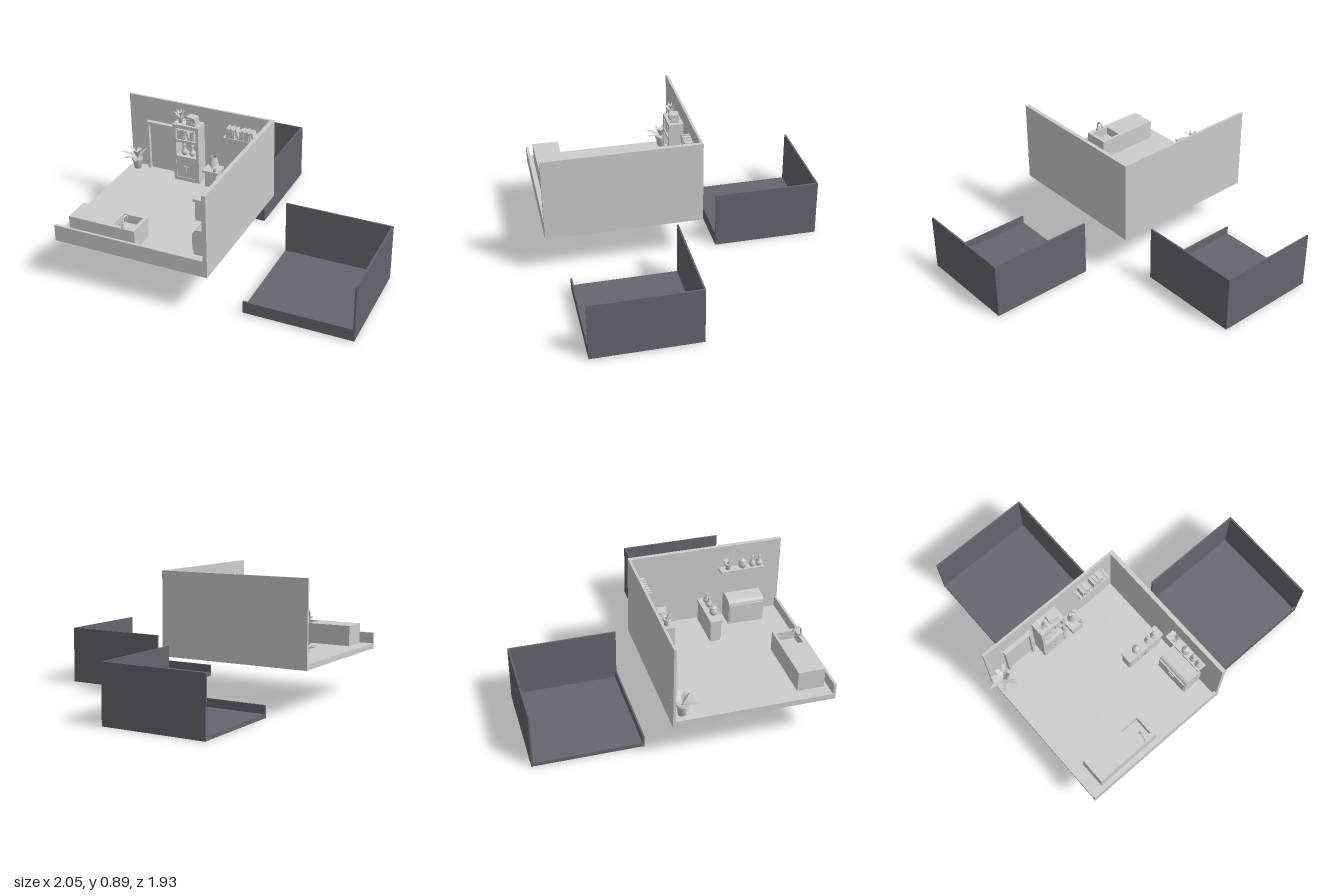
import * as THREE from 'three';

const wallGrey = new THREE.MeshStandardMaterial({ color: 0xcccccc });
wallGrey.name = 'lightGrey';
const slate = new THREE.MeshStandardMaterial({ color: 0x67656d });
slate.name = 'darkSlate';
const leafGrey = new THREE.MeshStandardMaterial({ color: 0xcccccc, side: THREE.DoubleSide });
leafGrey.name = 'leafGrey';

const FLOOR = 0.345;

function add(parent, name, geometry, material = wallGrey) {
  const mesh = new THREE.Mesh(geometry, material);
  mesh.name = name;
  parent.add(mesh);
  return mesh;
}

function group(parent, name, x = 0, y = 0, z = 0) {
  const g = new THREE.Group();
  g.name = name;
  g.position.set(x, y, z);
  parent.add(g);
  return g;
}

// box given by its limits along each axis
function box(parent, name, [x0, x1], [y0, y1], [z0, z1], material) {
  const m = add(parent, name, new THREE.BoxGeometry(x1 - x0, y1 - y0, z1 - z0), material);
  m.position.set((x0 + x1) / 2, (y0 + y1) / 2, (z0 + z1) / 2);
  return m;
}

function lathe(parent, name, points, sides = 16) {
  return add(parent, name, new THREE.LatheGeometry(points.map(p => new THREE.Vector2(...p)), sides), leafGrey);
}

// floor, tall back and right walls, low front wall, open left side
function room(parent, name, [x0, x1], [y0, y1], [z0, z1], o) {
  const g = group(parent, name);
  box(g, 'floor', [x0, x1 - o.side], [y0 + 0.002, y0 + o.floor], [z0 + o.wall, z1 - o.wall], o.material);
  box(g, 'backWall', [x0, x1 - o.side], [y0, y1], [z0, z0 + o.wall], o.material);
  box(g, 'rightWall', [x1 - o.side, x1], [y0, y1], [z0, z1], o.material);
  box(g, 'frontLowWall', [x0, x1 - o.side], [y0, y0 + o.low], [z1 - o.wall, z1], o.material);
  return g;
}

function pottedPlant(parent, name, x, y, z, r, h, leafLength, lean) {
  const g = group(parent, name, x, y, z);
  lathe(g, 'pot', [[0, 0], [r * 0.7, 0], [r, h * 0.8], [r * 1.15, h * 0.8], [r * 1.15, h], [r * 0.9, h], [r * 0.9, h * 0.85], [0, h * 0.85]]);
  const leaf = new THREE.Shape();
  leaf.moveTo(0, 0);
  leaf.quadraticCurveTo(leafLength * 0.3, leafLength * 0.5, 0, leafLength);
  leaf.quadraticCurveTo(-leafLength * 0.3, leafLength * 0.5, 0, 0);
  const geo = new THREE.ShapeGeometry(leaf, 6);
  const p = geo.attributes.position;
  // droop each leaf towards its tip
  for (let i = 0; i < p.count; i++) p.setZ(i, (p.getY(i) / leafLength) ** 2 * leafLength * 0.4);
  geo.computeVertexNormals();
  for (let i = 0; i < 9; i++) {
    const m = add(g, 'leaf', geo, leafGrey);
    m.position.y = h * 0.85;
    m.rotation.order = 'YXZ';
    m.rotation.set(lean * (i % 3 + 0.4) / 2, i * 2.4, 0);
    m.scale.setScalar(0.85 + 0.1 * (i % 3));
  }
}

function bottle(parent, x, y, z, h = 0.08, r = 0.024) {
  lathe(parent, 'bottle', [[0, 0], [r * 0.6, 0], [r, h * 0.22], [r * 0.85, h * 0.42], [r * 0.3, h * 0.6],
    [r * 0.3, h * 0.9], [r * 0.45, h], [0, h]]).position.set(x, y, z);
}

function jar(parent, x, y, z) {
  lathe(parent, 'jar', [[0, 0], [0.018, 0], [0.028, 0.015], [0.028, 0.035], [0.018, 0.048], [0.022, 0.05],
    [0.022, 0.056], [0.008, 0.062], [0.008, 0.068], [0, 0.068]]).position.set(x, y, z);
}

// row of upright books with a leaning one now and then
function bookRow(parent, x0, x1, y, z, h, depth) {
  const g = group(parent, 'bookRow');
  for (let x = x0, i = 0; x < x1 - 0.01; i++) {
    const leaning = i % 6 === 4, w = 0.011 + 0.004 * (i % 3);
    const m = add(g, 'book', new THREE.BoxGeometry(w, h - 0.008 * (i % 2), depth));
    m.position.set(x + w / 2 + (leaning ? 0.01 : 0), y + (h - 0.008 * (i % 2)) / 2, z);
    if (leaning) m.rotation.z = 0.3;
    x += w + (leaning ? 0.021 : 0.001);
  }
}

function furnish(parent) {
  const W = -0.095; // inner face of the back wall

  // door with raised frame
  const door = group(parent, 'door');
  box(door, 'doorPanel', [-0.845, -0.665], [FLOOR, 0.69], [W, W + 0.012]);
  box(door, 'doorFrameTop', [-0.865, -0.648], [0.688, 0.71], [W, W + 0.032]);
  for (const x of [-0.865, -0.665]) box(door, 'doorFrameSide', [x, x + 0.017], [FLOOR, 0.69], [W, W + 0.032]);

  pottedPlant(parent, 'floorPlant', -0.935, FLOOR, -0.035, 0.035, 0.085, 0.11, 0.75);

  // bookcase
  const c = group(parent, 'bookcase');
  for (const x of [-0.62, -0.45]) box(c, 'bookcaseSide', [x, x + 0.02], [FLOOR, 0.775], [W, 0.01]);
  box(c, 'bookcaseBack', [-0.6, -0.45], [FLOOR, 0.775], [W, W + 0.012]);
  for (const [a, b] of [[0.75, 0.775], [0.645, 0.662], [0.515, 0.535], [FLOOR, 0.37]])
    box(c, 'bookcaseShelf', [-0.6, -0.45], [a, b], [W + 0.012, 0.01]);
  for (const s of [0, 1]) {
    box(c, 'cupboardDoor', [-0.599 + s * 0.075, -0.526 + s * 0.075], [0.372, 0.513], [-0.005, 0.008]);
    add(c, 'knob', new THREE.SphereGeometry(0.006, 10, 8)).position.set(-0.537 + s * 0.024, 0.46, 0.012);
  }
  bookRow(c, -0.595, -0.458, 0.662, -0.035, 0.075, 0.07);
  for (const x of [-0.555, -0.495]) bottle(c, x, 0.535, -0.03);
  pottedPlant(c, 'shelfPlant', -0.58, 0.775, -0.035, 0.018, 0.05, 0.055, 0.55);
  for (let i = 0; i < 4; i++) {
    const b = box(c, 'stackedBook', [-0.528, -0.458], [0.775 + i * 0.015, 0.789 + i * 0.015], [-0.07, -0.01]);
    b.rotation.y = [-0.1, 0.12, -0.05, -0.2][i];
  }

  // side table, lamp and cup
  const t = group(parent, 'sideTable');
  box(t, 'tableTop', [-0.395, -0.28], [0.455, 0.472], [-0.08, 0.03]);
  box(t, 'tableBody', [-0.38, -0.295], [FLOOR, 0.455], [-0.075, 0.02]);
  add(t, 'knob', new THREE.SphereGeometry(0.006, 10, 8)).position.set(-0.337, 0.435, 0.022);
  const lamp = group(t, 'lamp', -0.337, 0.472, -0.035);
  lathe(lamp, 'lampBase', [[0, 0], [0.022, 0], [0.022, 0.006], [0.007, 0.012], [0.007, 0.05], [0, 0.05]]);
  lathe(lamp, 'lampShade', [[0.036, 0.028], [0.022, 0.088]]);
  lathe(t, 'cup', [[0, 0], [0.01, 0], [0.011, 0.02], [0.009, 0.02], [0.008, 0.003], [0, 0.003]]).position.set(-0.31, 0.472, 0.013);

  // wall shelves
  box(parent, 'backShelf', [-0.26, -0.015], [0.712, 0.728], [W, -0.025]);
  bookRow(parent, -0.24, -0.02, 0.728, -0.06, 0.072, 0.06);
  const s = group(parent, 'sideShelf');
  box(s, 'shelfBoard', [-0.015, 0.05], [0.712, 0.728], [0.52, 0.83]);
  pottedPlant(s, 'shelfPlant', 0.015, 0.728, 0.575, 0.02, 0.045, 0.05, 0.6);
  jar(s, 0.015, 0.728, 0.68);
  for (const z of [0.75, 0.797]) bottle(s, 0.015, 0.728, z);

  // console cabinet standing out from the right wall
  const k = group(parent, 'consoleCabinet');
  box(k, 'consoleTop', [-0.26, 0.04], [0.49, 0.508], [0.37, 0.455]);
  box(k, 'consoleBody', [-0.25, 0.03], [FLOOR, 0.49], [0.375, 0.445]);
  for (const x of [-0.245, -0.108]) {
    box(k, 'consoleDoor', [x, x + 0.133], [0.36, 0.485], [0.445, 0.451]);
  }
  for (const x of [-0.178, -0.125]) add(k, 'handle', new THREE.CylinderGeometry(0.005, 0.005, 0.03, 10)).position.set(x, 0.445, 0.455);
  jar(k, -0.17, 0.508, 0.418);
  for (const x of [-0.07, -0.018]) bottle(k, x, 0.508, 0.42, 0.075);

  // rounded cabinet against the right wall, profile run along z
  const p = new THREE.Shape();
  p.moveTo(0.05, FLOOR);
  p.lineTo(-0.085, FLOOR);
  p.lineTo(-0.085, 0.5);
  p.quadraticCurveTo(-0.08, 0.522, -0.055, 0.525);
  p.lineTo(0.02, 0.533);
  p.quadraticCurveTo(0.05, 0.528, 0.05, 0.5);
  const low = add(parent, 'roundedCabinet', new THREE.ExtrudeGeometry(p, { depth: 0.25, bevelEnabled: false, curveSegments: 8 }));
  low.position.z = 0.56;
  box(parent, 'roundedCabinetFront', [-0.095, -0.085], [0.37, 0.495], [0.565, 0.805]);
  box(parent, 'roundedCabinetHandle', [-0.103, -0.095], [0.47, 0.48], [0.665, 0.71]);

  // counter with sunken basin
  const n = group(parent, 'sinkCounter');
  const rect = (path, x0, x1, y0, y1) => {
    path.moveTo(x0, y0); path.lineTo(x1, y0); path.lineTo(x1, y1); path.lineTo(x0, y1); path.closePath();
    return path;
  };
  const top = rect(new THREE.Shape(), -0.91, -0.44, -0.92, -0.738);
  top.holes.push(rect(new THREE.Path(), -0.603, -0.465, -0.89, -0.757));
  const counter = add(n, 'counterBody', new THREE.ExtrudeGeometry(top, { depth: 0.485 - FLOOR, bevelEnabled: false }));
  counter.rotation.x = -Math.PI / 2;
  counter.position.y = FLOOR;
  box(n, 'basinFloor', [-0.603, -0.465], [FLOOR, 0.425], [0.757, 0.89]);
  const spout = new THREE.CatmullRomCurve3([[0.905, 0.485], [0.905, 0.53], [0.893, 0.55], [0.87, 0.553], [0.852, 0.54], [0.85, 0.522]]
    .map(([z, y]) => new THREE.Vector3(-0.525, y, z)));
  add(n, 'faucetSpout', new THREE.TubeGeometry(spout, 24, 0.006, 10));
  add(n, 'faucetBase', new THREE.CylinderGeometry(0.012, 0.013, 0.014, 14)).position.set(-0.525, 0.492, 0.905);
  add(n, 'faucetLever', new THREE.BoxGeometry(0.03, 0.006, 0.006)).position.set(-0.535, 0.505, 0.905);
}

export function createModel() {
  const model = new THREE.Group();
  model.name = 'dioramaRooms';
  const main = room(model, 'mainRoom', [-1, 0.08], [0.305, 0.887], [-0.11, 0.963],
    { side: 0.028, wall: 0.017, floor: FLOOR - 0.305, low: 0.115, material: wallGrey });
  furnish(main);
  const small = { side: 0.012, wall: 0.011, floor: 0.028, low: 0.085, material: slate };
  room(model, 'backRoom', [-0.78, -0.04], [0, 0.402], [-0.967, -0.232], small);
  room(model, 'sideRoom', [0.258, 0.997], [0.008, 0.408], [0.1, 0.832], small);
  return model;
}
